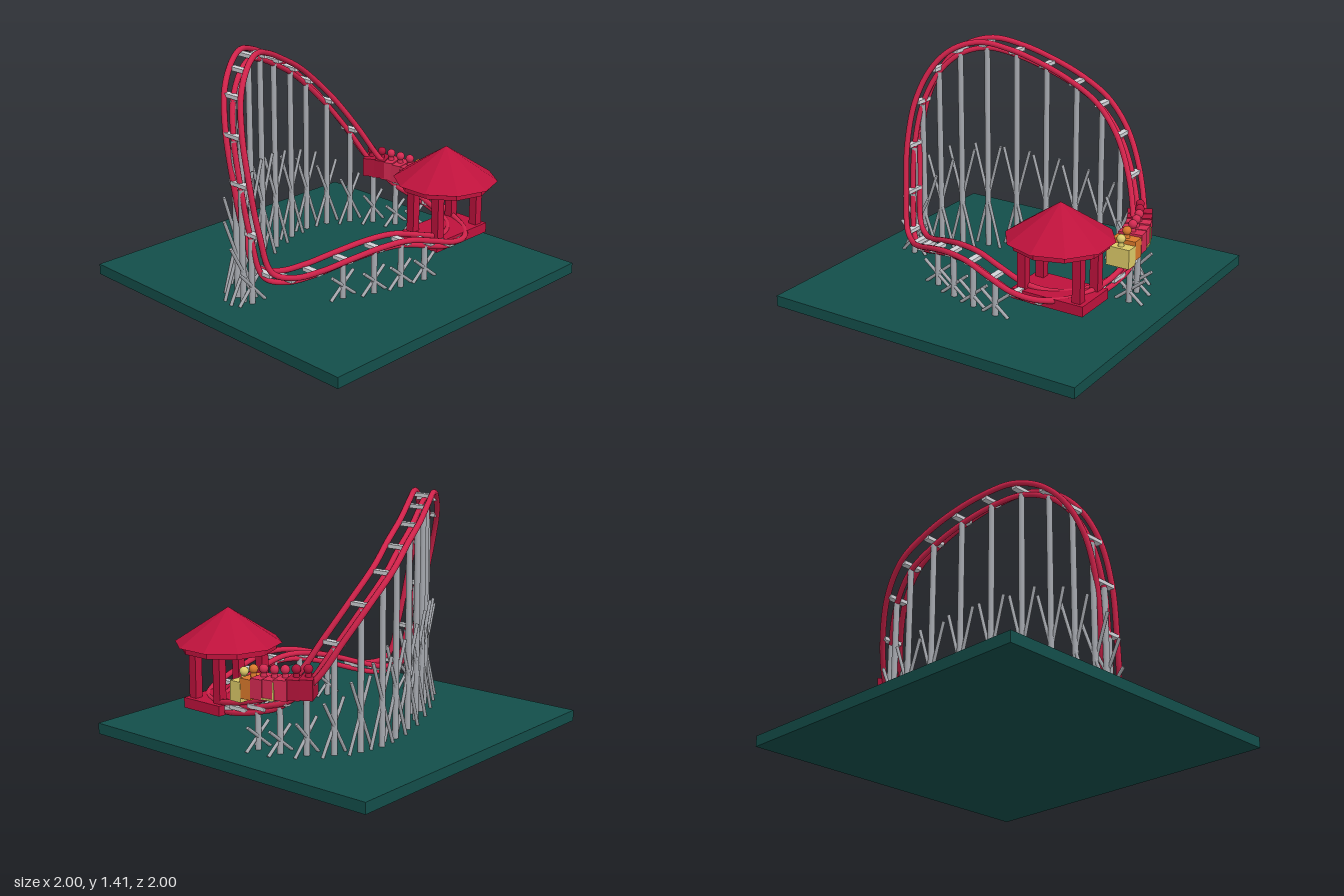
import * as THREE from 'three';

const paint = (name, color, extra = {}) => {
  const m = new THREE.MeshStandardMaterial({ color, ...extra });
  m.name = name;
  return m;
};

export function createModel() {
  const model = new THREE.Group();
  model.name = 'rollerCoaster';

  const green = paint('ground green', 0x134e4a);
  const red = paint('coaster red', 0xd0224a);
  const roofRed = paint('station red', 0xbe123c, { flatShading: true });
  const steel = paint('support grey', 0xa6a9af);
  const pale = paint('tie grey', 0xd1d3d8);
  const yellow = paint('car yellow', 0xdcca68);
  const orange = paint('car orange', 0xdb7a2c);
  const rose = paint('car rose', 0xd42a52);
  const wine = paint('car wine', 0xb01339);

  const add = (parent, name, geometry, material, x = 0, y = 0, z = 0) => {
    const mesh = new THREE.Mesh(geometry, material);
    mesh.name = name;
    mesh.position.set(x, y, z);
    parent.add(mesh);
    return mesh;
  };
  const group = (name) => {
    const g = new THREE.Group();
    g.name = name;
    model.add(g);
    return g;
  };
  // Round bar between two points
  const bar = (parent, name, a, b, r, sides) => {
    const d = b.clone().sub(a);
    const m = add(parent, name, new THREE.CylinderGeometry(r, r, d.length(), sides), steel);
    m.position.copy(a).add(b).multiplyScalar(0.5);
    m.quaternion.setFromUnitVectors(new THREE.Vector3(0, 1, 0), d.normalize());
  };

  const GROUND = 0.065;
  add(model, 'ground', new THREE.BoxGeometry(2, GROUND, 2), green, 0, GROUND / 2, 0);

  // Track centre line, one point per tie: over the hill, round the back, through the station
  const path = [
    [-0.40, 1.39, -0.30], [-0.24, 1.35, -0.38], [-0.07, 1.275, -0.45], [0.11, 1.18, -0.50],
    [0.27, 1.065, -0.53], [0.42, 0.91, -0.50], [0.55, 0.71, -0.42], [0.65, 0.50, -0.31],
    [0.72, 0.375, -0.18], [0.745, 0.325, -0.04], [0.74, 0.29, 0.10], [0.70, 0.26, 0.25],
    [0.62, 0.245, 0.40], [0.50, 0.25, 0.495], [0.36, 0.275, 0.53], [0.20, 0.325, 0.52],
    [0.03, 0.37, 0.49], [-0.14, 0.365, 0.44], [-0.31, 0.32, 0.36], [-0.46, 0.265, 0.27],
    [-0.58, 0.235, 0.18], [-0.675, 0.27, 0.105], [-0.718, 0.50, 0.05], [-0.738, 0.78, 0],
    [-0.72, 1.04, -0.07], [-0.65, 1.235, -0.15], [-0.54, 1.35, -0.22],
  ].map((p) => new THREE.Vector3(...p));

  // Two rails and a lower spine, each a shifted copy of the centre line
  const track = group('track');
  const tube = (name, dy, dz, r) => {
    const shift = new THREE.Vector3(0, dy, dz);
    const curve = new THREE.CatmullRomCurve3(path.map((p) => p.clone().add(shift)), true);
    add(track, name, new THREE.TubeGeometry(curve, 260, r, 10, true), red);
  };
  tube('leftRail', 0, 0.068, 0.017);
  tube('rightRail', 0, -0.068, 0.017);
  tube('spine', -0.048, 0, 0.016);

  // Ties everywhere; columns and crossed braces where the track is high enough
  const supports = group('supports');
  path.forEach((p) => {
    add(track, 'tie', new THREE.BoxGeometry(0.038, 0.022, 0.125), pale, p.x, p.y - 0.02, p.z);
    if (p.y < 0.3) return;
    bar(supports, 'column', new THREE.Vector3(p.x, GROUND, p.z),
      new THREE.Vector3(p.x, p.y - 0.045, p.z), 0.018, 12);
    const braceTop = Math.max(0.21, p.y * 0.525);
    for (const s of [-1, 1]) {
      bar(supports, 'brace', new THREE.Vector3(p.x + s * 0.09, GROUND, p.z + s * 0.006),
        new THREE.Vector3(p.x - s * 0.09, braceTop, p.z + s * 0.006), 0.01, 8);
    }
  });

  // Station: raised platform, four posts, ten-sided eave ring and roof
  const station = group('station');
  const cx = 0.535, cz = 0.382;
  add(station, 'platform', new THREE.BoxGeometry(0.455, 0.06, 0.28), roofRed, cx, 0.228, cz);
  for (const sx of [-1, 1]) {
    for (const sz of [-1, 1]) {
      add(station, 'post', new THREE.BoxGeometry(0.052, 0.28, 0.052), roofRed, cx + sx * 0.175, 0.395, cz + sz * 0.095);
    }
  }
  add(station, 'eave', new THREE.CylinderGeometry(0.275, 0.275, 0.04, 10), roofRed, cx, 0.547, cz);
  add(station, 'roof', new THREE.ConeGeometry(0.31, 0.205, 10), roofRed, cx, 0.668, cz);

  // Train: x, y, z, turn, colour of each car with its rider, and whether it has a trim
  const train = group('train');
  [
    [0.740, 0.390, 0.065, 0, yellow], [0.738, 0.415, -0.005, 0.04, orange],
    [0.735, 0.428, -0.078, 0.10, rose], [0.722, 0.432, -0.145, 0.2, rose, true],
    [0.705, 0.440, -0.208, 0.32, rose], [0.680, 0.447, -0.265, 0.42, wine],
    [0.650, 0.452, -0.325, 0.5, wine],
  ].forEach(([x, y, z, turn, color, trim]) => {
    const car = new THREE.Group();
    car.name = 'car';
    car.position.set(x, y, z);
    car.rotation.y = turn;
    add(car, 'carBody', new THREE.BoxGeometry(0.145, 0.115, 0.078), color);
    add(car, 'riderBody', new THREE.CylinderGeometry(0.014, 0.02, 0.04, 10), color, 0, 0.07, 0);
    add(car, 'riderHead', new THREE.SphereGeometry(0.026, 14, 10), color, 0, 0.1, 0);
    if (trim) {
      add(car, 'sill', new THREE.BoxGeometry(0.008, 0.009, 0.078), yellow, 0.074, -0.05, 0);
      add(car, 'edgeStrip', new THREE.BoxGeometry(0.008, 0.1, 0.008), yellow, 0.074, 0, -0.034);
    }
    train.add(car);
  });

  return model;
}
